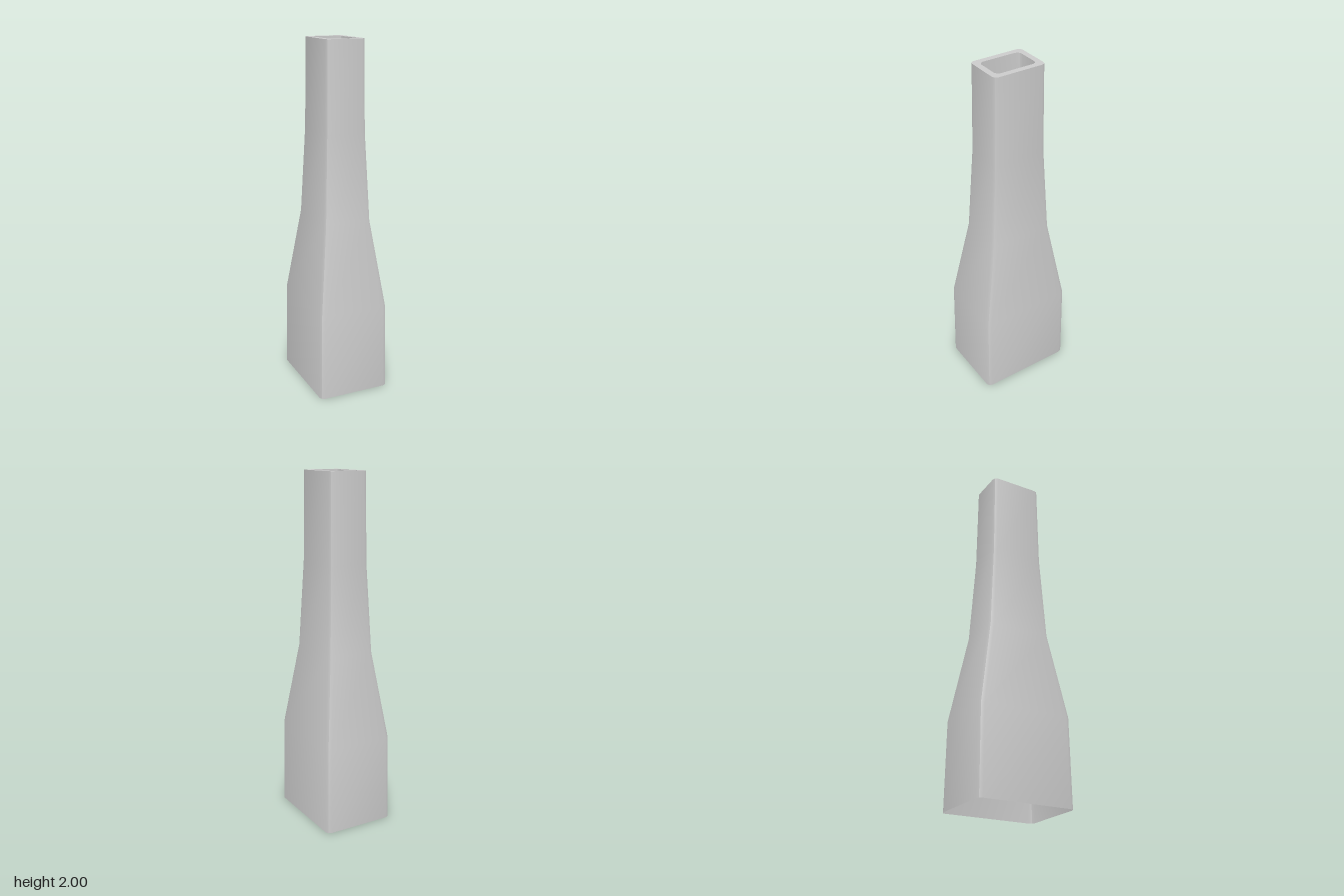
import * as THREE from 'three';
import { toCreasedNormals } from 'three/addons/utils/BufferGeometryUtils.js';

// Rounded rectangle as a counter-clockwise list of [x, z], two facets per corner
function roundedRect(halfX, halfZ, r) {
  const points = [];
  const signs = [[1, 1], [-1, 1], [-1, -1], [1, -1]];
  signs.forEach(([sx, sz], corner) => {
    for (let i = 0; i <= 2; i++) {
      const a = (corner + i / 2) * Math.PI / 2;
      points.push([sx * (halfX - r) + r * Math.cos(a), sz * (halfZ - r) + r * Math.sin(a)]);
    }
  });
  return points;
}

// Skin between successive sections { y, x, z, r }
function loft(sections) {
  const position = [], index = [];
  for (const s of sections)
    for (const [x, z] of roundedRect(s.x, s.z, s.r)) position.push(x, s.y, z);
  const n = 12;
  for (let k = 0; k < sections.length - 1; k++) {
    for (let i = 0; i < n; i++) {
      const a = k * n + i, b = k * n + (i + 1) % n;
      index.push(a, a + n, b, b, a + n, b + n);
    }
  }
  const geometry = new THREE.BufferGeometry();
  geometry.setAttribute('position', new THREE.Float32BufferAttribute(position, 3));
  geometry.setIndex(index);
  return toCreasedNormals(geometry, 0.5);
}

export function createModel() {
  const group = new THREE.Group();
  group.name = 'taperedDuct';
  const material = new THREE.MeshStandardMaterial({ color: 0xcccccc, side: THREE.DoubleSide });
  const add = (name, sections) => {
    const mesh = new THREE.Mesh(loft(sections), material);
    mesh.name = name;
    group.add(mesh);
  };

  // Thin tapering shell, open at the bottom
  add('shell', [
    { y: 0, x: 0.211, z: 0.282, r: 0.026 },
    { y: 0.5, x: 0.205, z: 0.276, r: 0.025 },
    { y: 1, x: 0.14, z: 0.189, r: 0.024 },
    { y: 1.5, x: 0.119, z: 0.161, r: 0.023 },
    { y: 2, x: 0.114, z: 0.154, r: 0.023 },
  ]);

  // Flat rim around the top opening
  add('topRim', [
    { y: 2, x: 0.114, z: 0.154, r: 0.023 },
    { y: 2, x: 0.081, z: 0.121, r: 0.024 },
  ]);

  return group;
}
